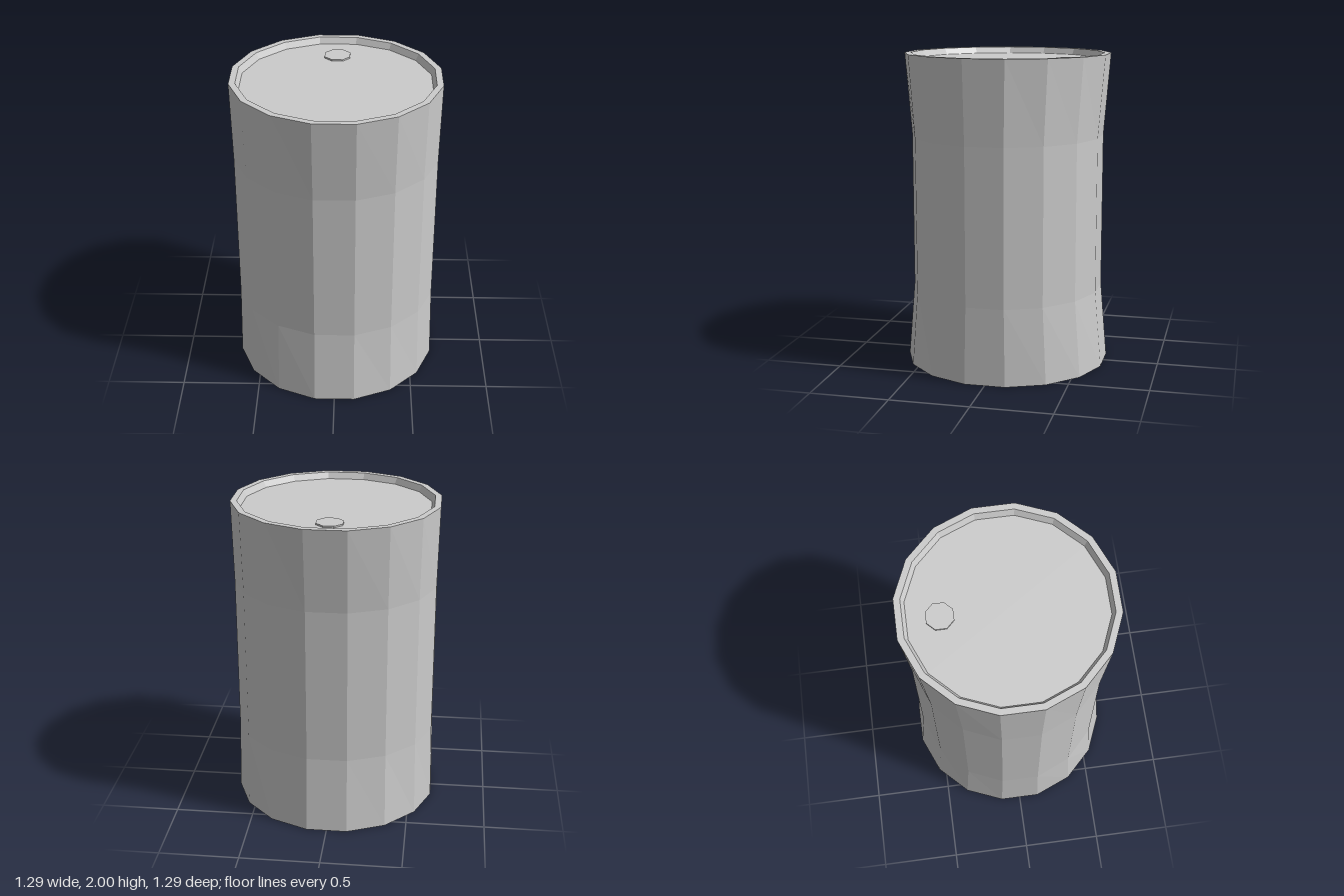
import * as THREE from 'three';

const SIDES = 16;

export function createModel() {
  const group = new THREE.Group();
  group.name = 'barrel';
  const material = new THREE.MeshStandardMaterial({ color: 0xcccccc, flatShading: true });

  // Flat-to-flat radii are turned into corner radii
  const corner = (apothem, sides) => apothem / Math.cos(Math.PI / sides);

  // Barrel shell: base, waisted wall, rim and recessed lid in one profile
  const profile = [
    [0, 0], [0.645, 0], [0.645, 0.49], [0.645, 1.48],
    [0.645, 2], [0.605, 2], [0.585, 1.96], [0, 1.96],
  ].map(([r, y]) => new THREE.Vector2(corner(r, SIDES), y));
  const shell = new THREE.LatheGeometry(profile, SIDES, Math.PI / SIDES);

  // The waist is pinched more from front to back than from side to side
  const pos = shell.attributes.position;
  for (let i = 0; i < pos.count; i++) {
    const y = pos.getY(i);
    if (y > 0.4 && y < 1.6) {
      pos.setX(i, pos.getX(i) * 0.985);
      pos.setZ(i, pos.getZ(i) * 0.935);
    }
  }
  shell.computeVertexNormals();
  const body = new THREE.Mesh(shell, material);
  body.name = 'barrelBody';
  group.add(body);

  // Octagonal filler cap near the back of the lid
  const r = corner(0.081, 8);
  const cap = new THREE.Mesh(
    new THREE.CylinderGeometry(r, r, 0.02, 8, 1, false, Math.PI / 8), material);
  cap.name = 'fillerCap';
  cap.position.set(0, 1.96, -0.392);
  group.add(cap);

  return group;
}
